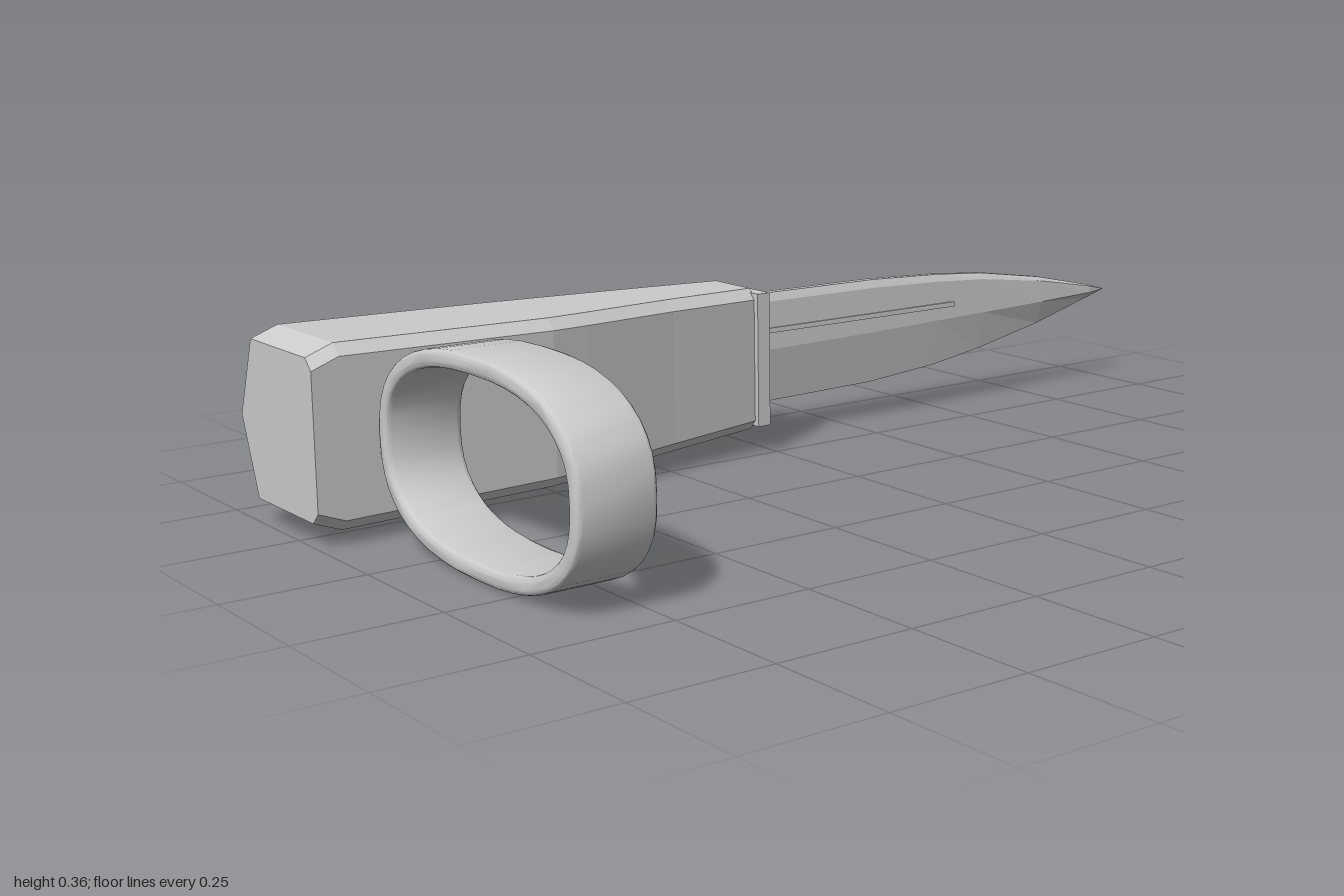
import * as THREE from 'three';
import { toCreasedNormals } from 'three/addons/utils/BufferGeometryUtils.js';

const mat = new THREE.MeshStandardMaterial({ color: 0xcccccc });

// Solid from convex cross-sections ({z, pts} counter-clockwise seen from +z), back to front
function loft(sections) {
  const pos = [];
  const put = (s, i) => pos.push(s.pts[i][0], s.pts[i][1], s.z);
  const n = sections[0].pts.length;
  for (let k = 0; k < sections.length - 1; k++) {
    const b = sections[k], a = sections[k + 1];
    for (let i = 0; i < n; i++) {
      const j = (i + 1) % n;
      put(b, i); put(b, j); put(a, j);
      put(b, i); put(a, j); put(a, i);
    }
  }
  const first = sections[0], last = sections[sections.length - 1];
  for (let i = 1; i < n - 1; i++) {
    put(last, 0); put(last, i); put(last, i + 1);
    put(first, 0); put(first, i + 1); put(first, i);
  }
  const g = new THREE.BufferGeometry();
  g.setAttribute('position', new THREE.Float32BufferAttribute(pos, 3));
  g.computeVertexNormals();
  return g;
}

// Grip outline: ridged on the -x side, chamfered on the +x side
function gripSection(z, right, bottom, top, shoulder = -0.4) {
  const c = 0.02, mid = (bottom + top) / 2;
  return {
    z,
    pts: [
      [-0.453, mid], [shoulder, bottom], [right - c, bottom], [right, bottom + c],
      [right, top - c], [right - c, top], [shoulder, top],
    ],
  };
}

// Blade outline: sharp lower edge, thick ridge, narrow flat spine
function bladeSection(z, bottom, ridge, top, half, spine) {
  const x = -0.37;
  return {
    z,
    pts: [
      [x, bottom], [x + half, ridge], [x + half * 0.9, ridge + (top - ridge) * 0.85],
      [x + spine, top], [x - spine, top], [x - half * 0.9, ridge + (top - ridge) * 0.85],
      [x - half, ridge],
    ],
  };
}

// Rounded oval (superellipse) points
function oval(a, b, n = 44, power = 2.5) {
  const pts = [];
  for (let i = 0; i < n; i++) {
    const t = (i / n) * Math.PI * 2, c = Math.cos(t), s = Math.sin(t);
    pts.push(new THREE.Vector2(
      Math.sign(c) * a * Math.abs(c) ** (2 / power),
      Math.sign(s) * b * Math.abs(s) ** (2 / power)));
  }
  return pts;
}

export function createModel() {
  const model = new THREE.Group();
  const add = (name, geometry, parent = model) => {
    const mesh = new THREE.Mesh(geometry, mat);
    mesh.name = name;
    parent.add(mesh);
    return mesh;
  };

  // Grip, narrowing toward the blade
  add('grip', loft([
    gripSection(0.035, -0.267, 0.045, 0.322),
    gripSection(0.25, -0.232, 0.038, 0.328),
    gripSection(0.46, -0.19, 0.032, 0.333),
    gripSection(0.54, -0.176, 0.03, 0.335),
    gripSection(0.95, -0.17, 0.024, 0.342),
    gripSection(1, -0.17, 0.043, 0.323),
  ]));

  // Guard plate between grip and blade
  add('guard', loft([
    gripSection(0.012, -0.255, 0.055, 0.315, -0.41),
    gripSection(0.04, -0.255, 0.055, 0.315, -0.41),
  ].map((s) => {
    s.pts[3][1] = 0.055; s.pts[4][1] = 0.315;
    return s;
  })));

  // Blade
  add('blade', loft([
    bladeSection(-1, 0.199, 0.2, 0.201, 0.001, 0.0005),
    bladeSection(-0.95, 0.185, 0.198, 0.215, 0.012, 0.003),
    bladeSection(-0.8, 0.145, 0.194, 0.248, 0.015, 0.005),
    bladeSection(-0.63, 0.11, 0.19, 0.274, 0.016, 0.006),
    bladeSection(-0.5, 0.09, 0.187, 0.284, 0.016, 0.007),
    bladeSection(-0.33, 0.076, 0.183, 0.291, 0.017, 0.008),
    bladeSection(0.02, 0.07, 0.178, 0.293, 0.017, 0.008),
  ]));

  // Thin rib along each blade face
  for (const side of [-1, 1]) {
    const rib = add('bladeRib', new THREE.BoxGeometry(0.008, 0.01, 0.56));
    rib.position.set(-0.37 + side * 0.0155, 0.218, -0.265);
  }

  // Oval finger ring
  const outline = new THREE.Shape(oval(0.304, 0.172));
  outline.holes.push(new THREE.Path(oval(0.292, 0.16).reverse()));
  const ringGeometry = new THREE.ExtrudeGeometry(outline, {
    depth: 0.124, bevelEnabled: true, bevelThickness: 0.009, bevelSize: 0.009, bevelSegments: 3,
  });
  const ring = add('fingerRing', toCreasedNormals(ringGeometry, 0.7));
  ring.position.set(0.142, 0.182, 0.753);

  // Screws on the ridged side of the grip
  for (const z of [0.17, 0.85]) {
    for (const side of [-1, 1]) {
      const screw = new THREE.Group();
      screw.name = 'screw';
      add('screwHead', new THREE.CylinderGeometry(0.015, 0.016, 0.024, 16), screw);
      const dome = add('screwDome',
        new THREE.SphereGeometry(0.015, 16, 6, 0, Math.PI * 2, 0, Math.PI / 2), screw);
      dome.scale.y = 0.4;
      dome.position.y = 0.012;
      screw.position.set(-0.439, 0.183 + side * 0.053, z);
      screw.quaternion.setFromUnitVectors(
        new THREE.Vector3(0, 1, 0), new THREE.Vector3(-0.944, side * 0.33, 0).normalize());
      model.add(screw);
    }
  }
  return model;
}
